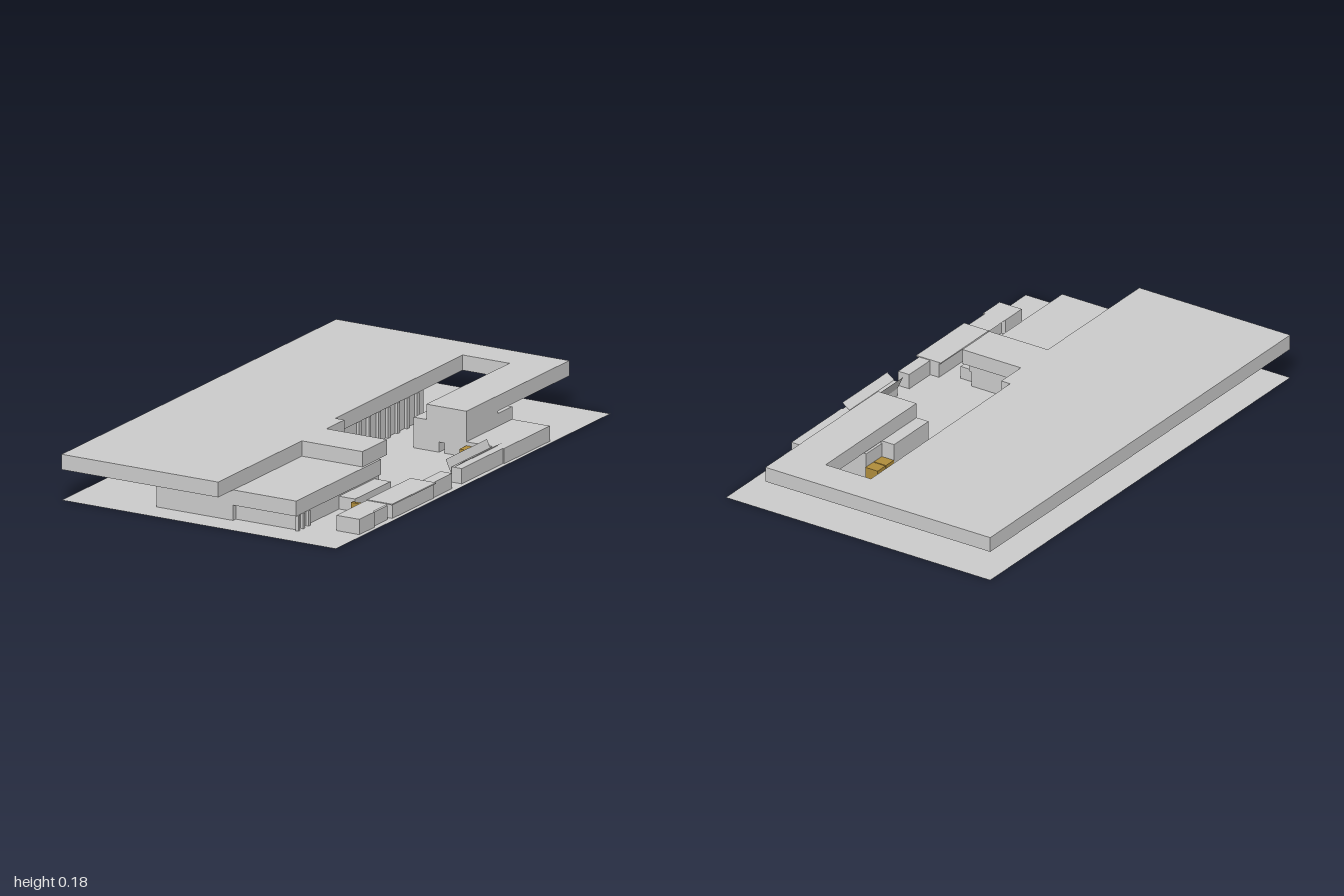
import * as THREE from 'three';

const grey = new THREE.MeshStandardMaterial({ color: 0xcccccc, flatShading: true });
const thin = new THREE.MeshStandardMaterial({ color: 0xcccccc, side: THREE.DoubleSide });
const tan = new THREE.MeshStandardMaterial({ color: 0xb08d3c, flatShading: true });

export function createModel() {
  const model = new THREE.Group();

  const add = (name, geometry, material = grey) => {
    const mesh = new THREE.Mesh(geometry, material);
    mesh.name = name;
    model.add(mesh);
    return mesh;
  };
  // Box from its min and max on each axis
  const box = (name, x0, x1, y0, y1, z0, z1, material) =>
    add(name, new THREE.BoxGeometry(x1 - x0, y1 - y0, z1 - z0), material)
      .position.set((x0 + x1) / 2, (y0 + y1) / 2, (z0 + z1) / 2);
  // Upright prism from a plan outline of [x, z] points
  const prism = (name, plan, y0, y1) => {
    const shape = new THREE.Shape(plan.map(([x, z]) => new THREE.Vector2(x, -z)));
    const g = new THREE.ExtrudeGeometry(shape, { depth: y1 - y0, bevelEnabled: false });
    g.rotateX(-Math.PI / 2).translate(0, y0, 0);
    return add(name, g);
  };
  // Thin sheet running along z between two [x, y] edges
  const sheet = (name, [xa, ya], [xb, yb], z0, z1) => {
    const g = new THREE.PlaneGeometry(Math.hypot(xb - xa, yb - ya), z1 - z0);
    g.rotateX(-Math.PI / 2).rotateZ(Math.atan2(yb - ya, xb - xa));
    g.translate((xa + xb) / 2, (ya + yb) / 2, (z0 + z1) / 2);
    return add(name, g, thin);
  };

  // Site
  add('ground', new THREE.PlaneGeometry(1.2, 2).rotateX(-Math.PI / 2), thin);

  // Overhanging upper storey wrapping a courtyard
  prism('upperStorey', [
    [-0.6, -1], [0.42, -1], [0.42, -0.25], [0.245, -0.25], [0.245, -0.855],
    [0.04, -0.855], [0.045, 0.08], [0.085, 0.08], [0.085, 0.21], [0.35, 0.21],
    [0.35, 0.39], [0.085, 0.39], [0.085, 1], [-0.6, 1],
  ], 0.12, 0.18);

  // Main lower building and the front wing beside it
  prism('lowerBuilding', [
    [-0.25, -0.58], [0.035, -0.58], [0.035, 0.08], [0.075, 0.08],
    [0.075, 0.27], [0.085, 0.27], [0.085, 0.89], [-0.25, 0.89],
  ], 0, 0.12);
  box('frontWingUpper', 0.085, 0.36, 0.06, 0.12, 0.27, 0.89);
  box('frontWingLower', 0.085, 0.35, 0, 0.06, 0.27, 0.87);
  for (const z of [0.875, 0.84, 0.8]) box('wingPost', 0.353, 0.365, 0, 0.06, z - 0.006, z + 0.006);
  box('wingPorch', 0.35, 0.42, 0, 0.05, 0.3, 0.56);

  // Columns along the courtyard wall
  for (let i = 0; i < 7; i++) {
    const z = -0.53 + i * 0.07;
    box('courtyardColumn', 0.035, 0.046, 0, 0.12, z, z + 0.018);
  }

  // Block under the rear arm, with a doorway in its front
  const face = new THREE.Shape([[0.19, 0], [0.3, 0], [0.3, 0.04], [0.325, 0.04], [0.325, 0],
    [0.42, 0], [0.42, 0.12], [0.19, 0.12]].map(([x, y]) => new THREE.Vector2(x, y)));
  add('armBlock', new THREE.ExtrudeGeometry(face, { depth: 0.23, bevelEnabled: false }).translate(0, 0, -0.48));
  box('armBlockRear', 0.245, 0.42, 0, 0.11, -0.585, -0.48);

  // Stairs
  for (const z of [-0.59, -0.534]) box('rearStair', 0.19, 0.245, 0, 0.055, z, z + 0.052, tan);
  for (const x of [0.42, 0.466]) box('sideStair', x, x + 0.044, 0, 0.045, -0.25, -0.2, tan);
  box('frontStair', 0.42, 0.475, 0, 0.045, 0.575, 0.59, tan);

  // Low row along the left boundary
  box('rearTerrace', 0.42, 0.585, 0, 0.06, -0.585, -0.25);
  box('sideRow', 0.535, 0.58, 0, 0.06, -0.25, 0.05);
  sheet('slopingWall', [0.51, 0.085], [0.535, 0.03], -0.25, 0.05);
  sheet('sideAwning', [0.55, 0.062], [0.582, 0.085], -0.25, 0.05);
  box('linkRoom', 0.53, 0.58, 0, 0.06, 0.12, 0.26);
  box('middleRoom', 0.49, 0.583, 0, 0.058, 0.26, 0.56);
  box('middleRoof', 0.482, 0.594, 0.058, 0.063, 0.26, 0.58);
  box('frontRoomLink', 0.5, 0.575, 0, 0.055, 0.58, 0.69);
  box('frontRoom', 0.482, 0.583, 0, 0.06, 0.69, 0.8);
  sheet('frontRoof', [0.482, 0.06], [0.575, 0.06], 0.58, 0.69);

  return model;
}
